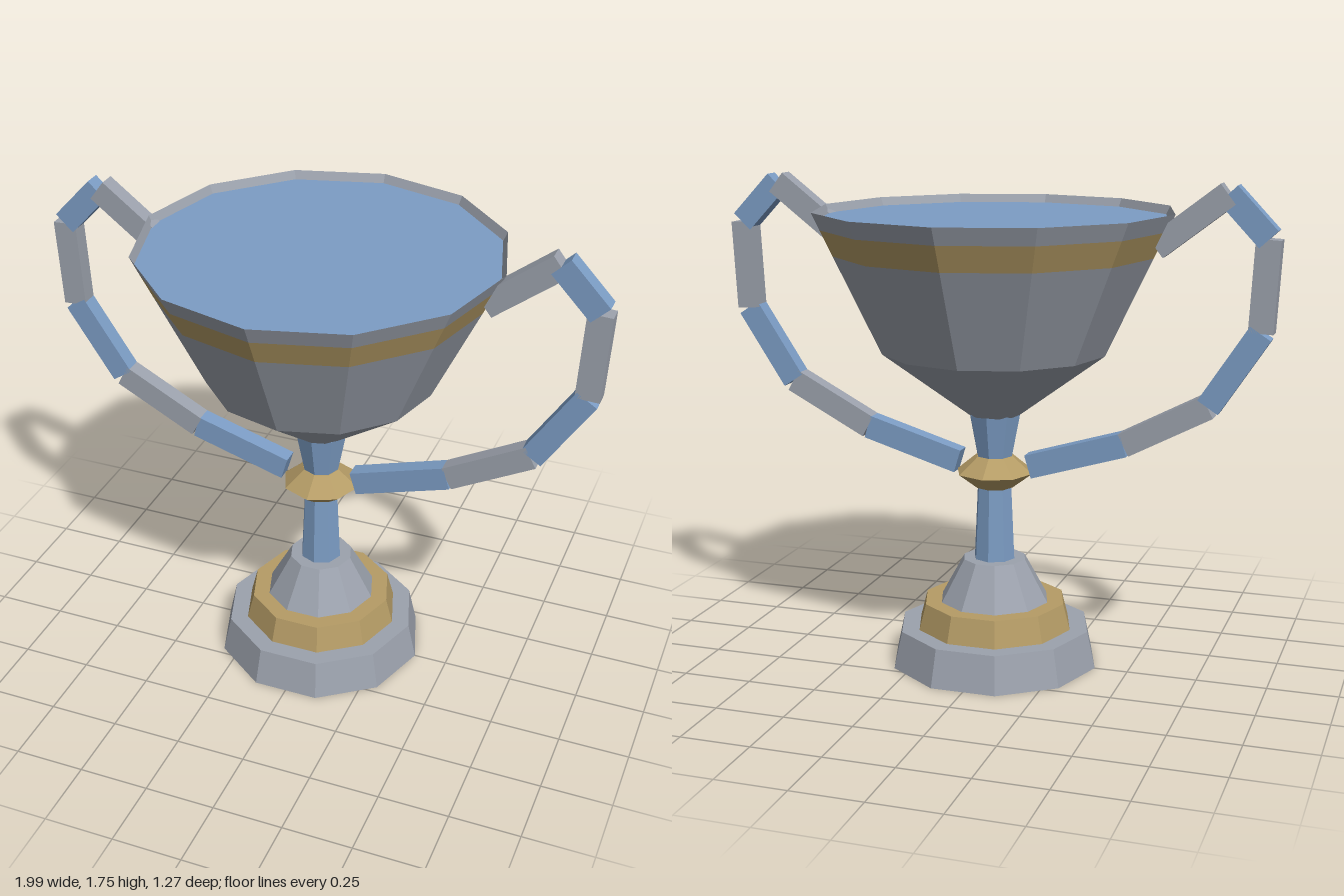
import * as THREE from 'three';

const flat = (name, color, side = THREE.FrontSide) => {
  const m = new THREE.MeshStandardMaterial({ color, flatShading: true, side });
  m.name = name;
  return m;
};

export function createModel() {
  const silver = flat('silver', 0x9ca2ad, THREE.DoubleSide);
  const gold = flat('gold', 0xb59c66);
  const blue = flat('blue', 0x7c9dc5);

  const trophy = new THREE.Group();
  trophy.name = 'trophyCup';

  // One faceted ring between two heights, with a corner on the x axis
  const tier = (name, material, sides, y0, r0, y1, r1, open = false) => {
    const geo = new THREE.CylinderGeometry(r1, r0, y1 - y0, sides, 1, open, Math.PI / 2);
    const mesh = new THREE.Mesh(geo, material);
    mesh.name = name;
    mesh.position.y = (y0 + y1) / 2;
    trophy.add(mesh);
  };

  // Stepped base
  tier('baseFoot', silver, 10, 0, 0.38, 0.135, 0.35);
  tier('baseBand', gold, 10, 0.135, 0.285, 0.23, 0.26);
  tier('baseCone', silver, 10, 0.23, 0.2, 0.385, 0.115);

  // Stem with a knot
  tier('stem', blue, 8, 0.385, 0.075, 0.65, 0.063);
  tier('knotLower', gold, 8, 0.65, 0.068, 0.705, 0.14);
  tier('knotUpper', gold, 8, 0.705, 0.14, 0.765, 0.068);
  tier('neck', blue, 8, 0.765, 0.065, 0.92, 0.095);

  // Bowl: thin shell with a gold band, filled almost to the rim
  tier('bowlLower', silver, 12, 0.915, 0.09, 1.145, 0.4, true);
  tier('bowlUpper', silver, 12, 1.145, 0.4, 1.49, 0.564, true);
  tier('bowlBand', gold, 12, 1.49, 0.564, 1.58, 0.607, true);
  tier('bowlRim', silver, 12, 1.58, 0.607, 1.64, 0.635, true);
  const filling = new THREE.Mesh(new THREE.CircleGeometry(0.62, 12), blue);
  filling.name = 'filling';
  filling.rotation.x = -Math.PI / 2;
  filling.position.y = 1.61;
  trophy.add(filling);

  // Handles: straight bars in alternating colours along a bent path
  const path = [
    [0.575, 1.53], [0.815, 1.715], [0.953, 1.57], [0.937, 1.257],
    [0.767, 0.995], [0.476, 0.841], [0.132, 0.737],
  ];
  for (const side of [1, -1]) {
    const handle = new THREE.Group();
    handle.name = side > 0 ? 'leftHandle' : 'rightHandle';
    for (let i = 0; i < path.length - 1; i++) {
      const [x0, y0] = path[i];
      const [x1, y1] = path[i + 1];
      const dx = (x1 - x0) * side;
      const dy = y1 - y0;
      const bar = new THREE.Mesh(
        new THREE.BoxGeometry(Math.hypot(dx, dy), 0.085, 0.06),
        i % 2 ? blue : silver,
      );
      bar.name = `handleBar${i + 1}`;
      bar.position.set((side * (x0 + x1)) / 2, (y0 + y1) / 2, 0);
      bar.rotation.z = Math.atan2(dy, dx);
      handle.add(bar);
    }
    trophy.add(handle);
  }

  return trophy;
}
